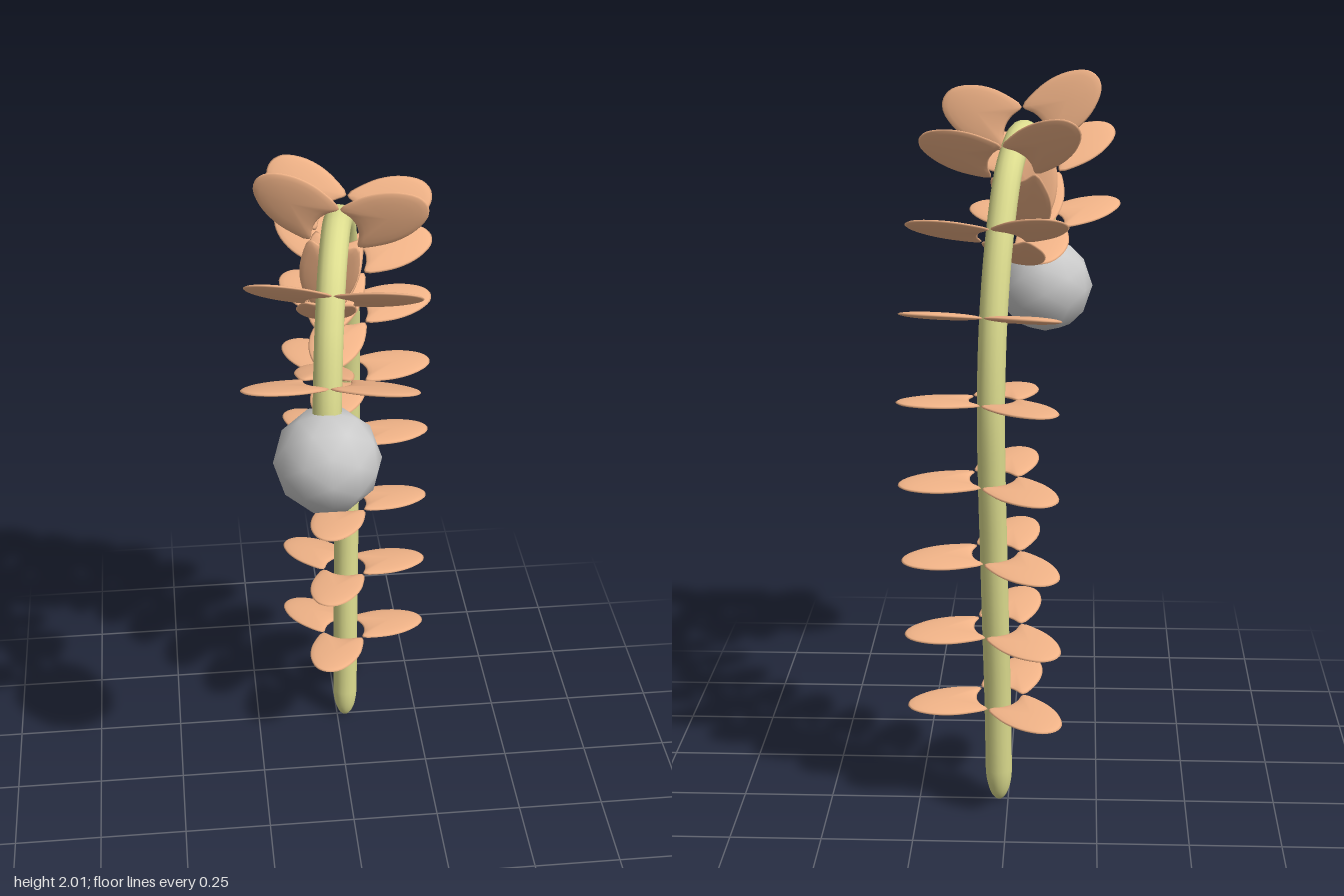
import * as THREE from 'three';
import { mergeVertices } from 'three/addons/utils/BufferGeometryUtils.js';

const STEM_RADIUS = 0.037;
const WHORLS = 11;
const ROLL = -0.155; // turn of each whorl about the stem

// Flattened sphere reshaped to a closed outline: a lens-shaped petal with a
// hollow inner edge that curves around the stem.
function petalGeometry() {
  const half = [[0.238, 0.032], [0.195, 0.061], [0.145, 0.075], [0.095, 0.076], [0.037, 0.062], [0.052, 0.03]];
  const pts = [[0.25, 0], ...half, [0.058, 0], ...half.map(([a, p]) => [a, -p]).reverse()];
  const outline = new THREE.CatmullRomCurve3(pts.map(([a, p]) => new THREE.Vector3(a, 0, p)), true);
  const centre = new THREE.Vector3(0.145, 0, 0);

  let geo = new THREE.SphereGeometry(1, 42, 10);
  const pos = geo.attributes.position;
  const v = new THREE.Vector3();
  for (let i = 0; i < pos.count; i++) {
    v.fromBufferAttribute(pos, i);
    const turn = (Math.atan2(v.z, v.x) / (2 * Math.PI) + 1) % 1;
    const spread = Math.min(1, Math.hypot(v.x, v.z));
    const p = outline.getPoint(turn).sub(centre).multiplyScalar(spread).add(centre);
    pos.setXYZ(i, p.x, v.y * 0.01, p.z);
  }
  geo.deleteAttribute('uv');
  geo.deleteAttribute('normal');
  geo = mergeVertices(geo, 1e-5);
  geo.computeVertexNormals();
  return geo;
}

export function createModel() {
  const model = new THREE.Group();
  model.name = 'droopingFlowerStalk';
  const stemMat = new THREE.MeshStandardMaterial({ color: 0xdcdc8e });
  const petalMat = new THREE.MeshStandardMaterial({ color: 0xf2b488 });
  const budMat = new THREE.MeshStandardMaterial({ color: 0xcccccc });

  // Stem: an arch lying in one slightly turned vertical plane, as [z, y]
  const path = [
    [-0.255, 0.1], [-0.267, 0.32], [-0.29, 0.55], [-0.31, 0.77], [-0.33, 0.99], [-0.335, 1.2],
    [-0.3, 1.43], [-0.22, 1.63], [-0.11, 1.775], [0.05, 1.84], [0.2, 1.78], [0.295, 1.66],
    [0.35, 1.52], [0.385, 1.36],
  ];
  const onPlane = ([z, y]) => new THREE.Vector3(-0.02 - 0.18 * z, y, z);
  const curve = new THREE.CatmullRomCurve3(path.map(onPlane));
  const stem = new THREE.Mesh(new THREE.TubeGeometry(curve, 80, STEM_RADIUS, 16), stemMat);
  stem.name = 'stem';
  model.add(stem);

  // Rounded foot of the stem, in line with its start
  const foot = new THREE.Mesh(
    new THREE.SphereGeometry(1, 16, 10, 0, Math.PI * 2, Math.PI / 2, Math.PI / 2), stemMat);
  foot.name = 'stemFoot';
  foot.scale.set(STEM_RADIUS, 0.1, STEM_RADIUS);
  foot.position.copy(onPlane(path[0]));
  foot.quaternion.setFromUnitVectors(new THREE.Vector3(0, 1, 0), curve.getTangentAt(0));
  model.add(foot);

  // Whorls of three petals, square to the stem, a little closer together towards the tip
  const geo = petalGeometry();
  const side = new THREE.Vector3(1, 0, 0.18).normalize();
  const length = curve.getLength();
  for (let i = 0; i < WHORLS; i++) {
    const u = (0.222 + 0.224 * i - 0.001 * i * i) / length;
    const along = curve.getTangentAt(u);
    const inward = side.clone().cross(along).normalize();
    const whorl = new THREE.Group();
    whorl.name = `petalWhorl${i + 1}`;
    whorl.position.copy(curve.getPointAt(u));
    whorl.quaternion.setFromRotationMatrix(
      new THREE.Matrix4().makeBasis(inward, along, inward.clone().cross(along)));
    for (let k = 0; k < 3; k++) {
      const petal = new THREE.Mesh(geo, petalMat);
      petal.name = 'petal';
      petal.rotation.y = ROLL + (k * 2 * Math.PI) / 3;
      whorl.add(petal);
    }
    model.add(whorl);
  }

  // Round bud hanging at the tip
  const bud = new THREE.Mesh(new THREE.IcosahedronGeometry(0.139, 1), budMat);
  bud.name = 'bud';
  bud.position.set(-0.087, 1.348, 0.388);
  model.add(bud);

  return model;
}
